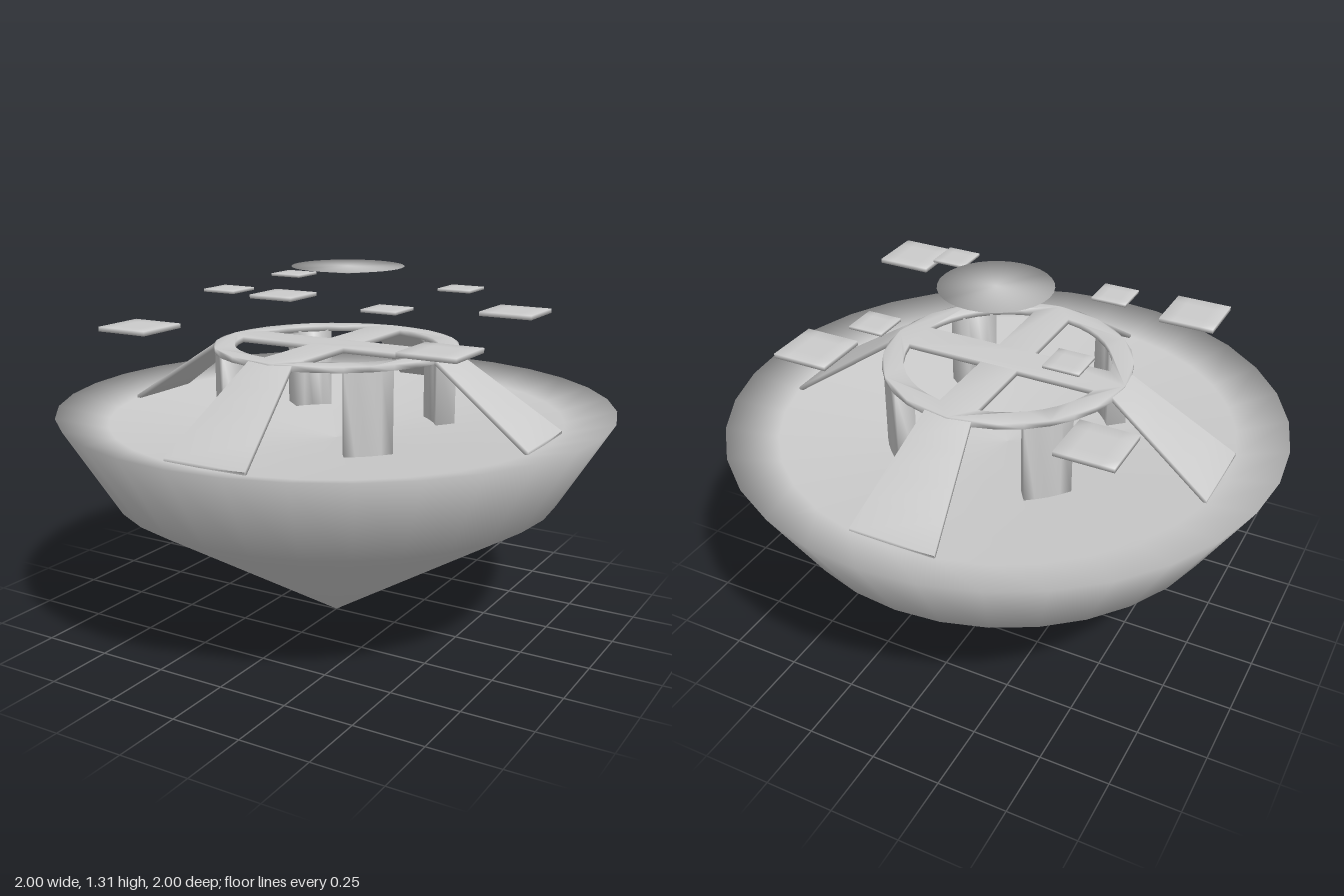
import * as THREE from 'three';
import { mergeVertices } from 'three/addons/utils/BufferGeometryUtils.js';

const material = new THREE.MeshStandardMaterial({ color: 0xcccccc });

// Share vertices so the normals blend softly over the edges
function smooth(geometry) {
  geometry.deleteAttribute('normal');
  geometry.deleteAttribute('uv');
  const merged = mergeVertices(geometry, 1e-4);
  merged.computeVertexNormals();
  return merged;
}

function add(parent, name, geometry) {
  const mesh = new THREE.Mesh(geometry, material);
  mesh.name = name;
  parent.add(mesh);
  return mesh;
}

// Flat outline drawn in x/z, raised from y = bottom to y = top
function slab(shape, bottom, top) {
  const g = new THREE.ExtrudeGeometry(shape, { depth: top - bottom, bevelEnabled: false, curveSegments: 8 });
  return smooth(g.rotateX(-Math.PI / 2).translate(0, bottom, 0));
}

const polar = (r, a) => new THREE.Vector2(r * Math.cos(a), r * Math.sin(a));

function arc(r, from, to, steps) {
  return Array.from({ length: steps + 1 }, (_, i) => polar(r, from + (to - from) * i / steps));
}

// Ring with a cross of two beams, cut out as four quadrant holes
function ringAndCross() {
  const shape = new THREE.Shape(arc(0.44, 0, Math.PI * 2 * 31 / 32, 31));
  const inner = 0.365, half = 0.07;
  const a = Math.asin(half / inner);
  for (let q = 0; q < 4; q++) {
    const turn = q * Math.PI / 2;
    const corner = new THREE.Vector2(half, half).rotateAround(new THREE.Vector2(), turn);
    shape.holes.push(new THREE.Path([corner, ...arc(inner, turn + a, turn + Math.PI / 2 - a, 8)]));
  }
  return slab(shape, 1.01, 1.03);
}

// Curved upright panel under the ring
function pillar() {
  const a = Math.PI * 33.75 / 180, b = Math.PI * 56.25 / 180;
  return slab(new THREE.Shape([...arc(0.435, a, b, 4), ...arc(0.365, b, a, 4)]), 0.69, 1.015);
}

// Ramp that widens as it descends outwards along +z
function ramp() {
  const g = new THREE.BoxGeometry(1, 1, 1, 1, 1, 4);
  const p = g.attributes.position;
  for (let i = 0; i < p.count; i++) {
    const t = p.getZ(i) + 0.5;
    p.setXYZ(i,
      p.getX(i) * 2 * THREE.MathUtils.lerp(0.085, 0.155, t),
      THREE.MathUtils.lerp(1.02, 0.765, t) + p.getY(i) * 0.02,
      THREE.MathUtils.lerp(0.43, 0.805, t));
  }
  return smooth(g);
}

export function createModel() {
  const model = new THREE.Group();
  model.name = 'floatingPlatform';

  // Pointed hull with a shallow dished deck
  const hull = [[0, 0], [0.81, 0.5], [1, 0.81], [0.82, 0.765], [0, 0.68]];
  add(model, 'hull', new THREE.LatheGeometry(hull.map(([x, y]) => new THREE.Vector2(x, y)), 32));

  add(model, 'ringWalkway', ringAndCross());

  // Four ramps on the axes and four pillars between them
  const rampGeometry = ramp(), pillarGeometry = pillar();
  for (let i = 0; i < 4; i++) {
    add(model, 'ramp', rampGeometry).rotation.y = i * Math.PI / 2;
    add(model, 'pillar', pillarGeometry).rotation.y = i * Math.PI / 2;
  }

  // Hovering square tiles: x, y, z
  const tiles = new THREE.Group();
  tiles.name = 'floatingTiles';
  model.add(tiles);
  const large = smooth(new THREE.BoxGeometry(0.2, 0.016, 0.2, 4, 1, 4));
  const small = smooth(new THREE.BoxGeometry(0.125, 0.01, 0.125, 4, 1, 4));
  for (const [x, y, z] of [[-0.54, 1.104, -0.48], [0.52, 1.128, -0.4], [-0.52, 1.108, 0.46], [0.61, 1.122, 0.415]])
    add(tiles, 'largeTile', large).position.set(x, y, z);
  for (const [x, y, z] of [[-0.345, 1.228, -0.26], [0.35, 1.214, -0.29], [-0.295, 1.23, 0.24], [0.36, 1.216, 0.29]])
    add(tiles, 'smallTile', small).position.set(x, y, z);

  // Shallow inverted cone hovering on top
  const cone = add(model, 'topDisc', smooth(new THREE.CylinderGeometry(0.2, 0, 0.027, 32)));
  cone.position.set(0.035, 1.292, -0.02);

  return model;
}
